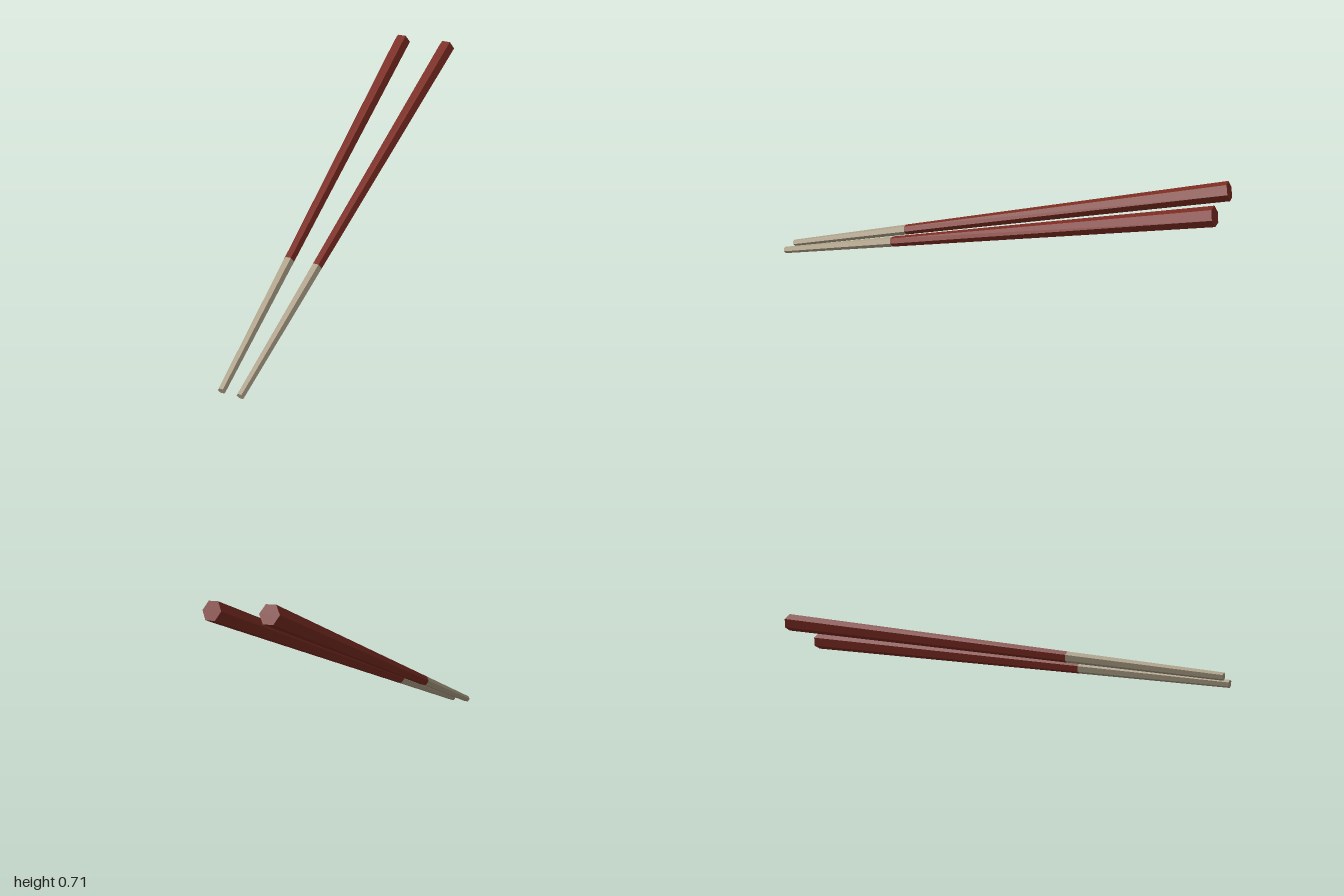
import * as THREE from 'three';

// Hexagonal tapered bar from a to b, with a pair of edges lying level
function hexBar(name, a, b, ra, rb, material) {
  const geometry = new THREE.CylinderGeometry(rb, ra, a.distanceTo(b), 6, 1, false, Math.PI / 2);
  geometry.rotateX(Math.PI / 2);
  const mesh = new THREE.Mesh(geometry, material);
  mesh.name = name;
  mesh.position.copy(a).lerp(b, 0.5);
  mesh.lookAt(b);
  return mesh;
}

export function createModel() {
  const lacquer = new THREE.MeshStandardMaterial({ color: 0x7c2c22, flatShading: true });
  lacquer.name = 'red lacquer';
  const wood = new THREE.MeshStandardMaterial({ color: 0xaea188, flatShading: true });
  wood.name = 'pale wood';

  const model = new THREE.Group();
  model.name = 'chopsticks';
  const tipRadius = 0.0153, endRadius = 0.039, split = 0.303;
  const splitRadius = THREE.MathUtils.lerp(tipRadius, endRadius, split);

  // Mirrored pair, spreading apart and rising towards the back
  for (const side of [1, -1]) {
    const tip = new THREE.Vector3(side * 0.038, 0.0126, 0.996);
    const end = new THREE.Vector3(side * 0.1135, 0.675, -0.9895);
    const joint = tip.clone().lerp(end, split);
    const stick = new THREE.Group();
    stick.name = side > 0 ? 'leftChopstick' : 'rightChopstick';
    stick.add(
      hexBar('tip', tip, joint, tipRadius, splitRadius, wood),
      hexBar('handle', joint, end, splitRadius, endRadius, lacquer)
    );
    model.add(stick);
  }
  return model;
}
